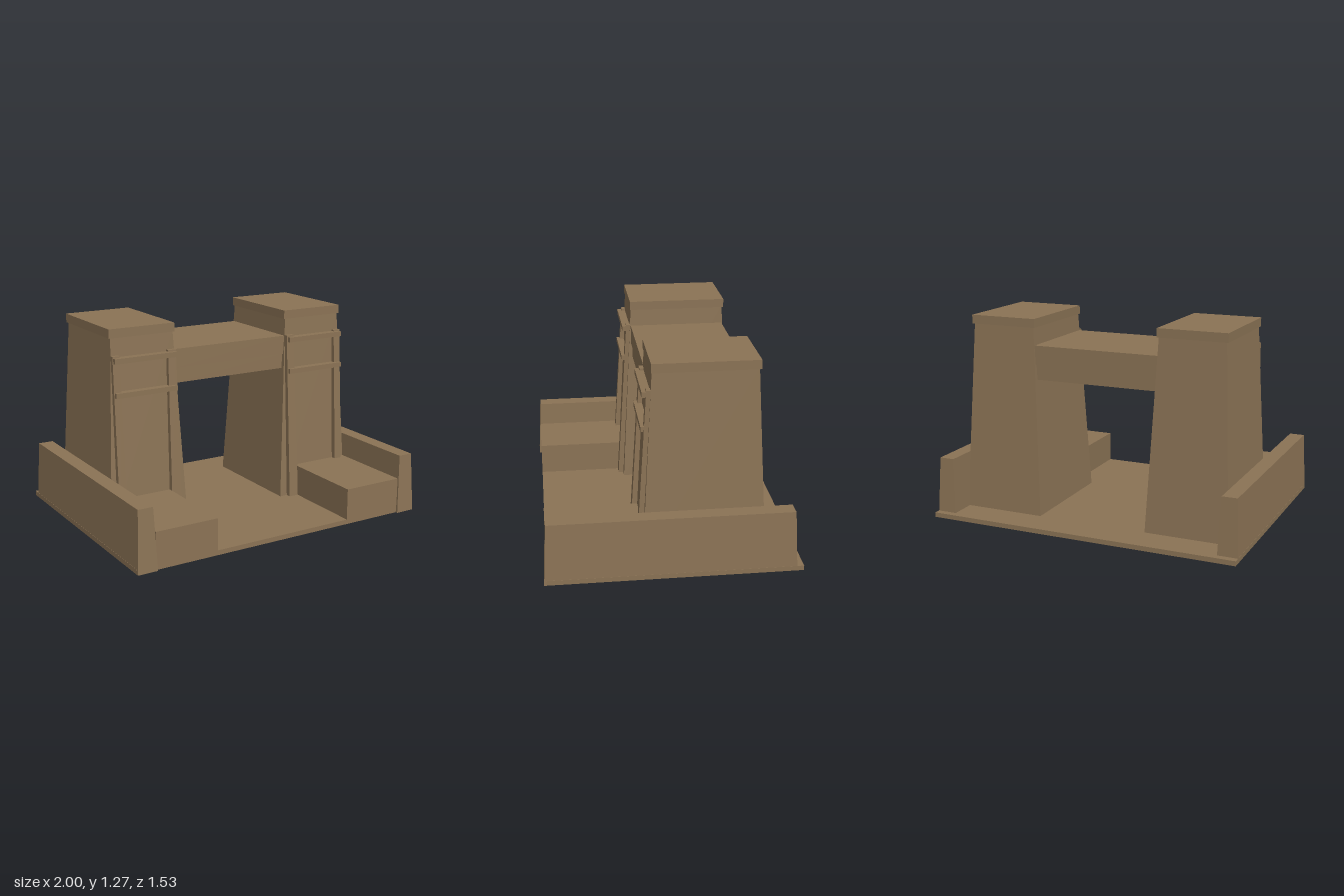
import * as THREE from 'three';

const stone = new THREE.MeshStandardMaterial({ color: 0x8b7355 });
stone.name = 'sandstone';

// Block with separate bottom and top rectangles: [x0, x1, z0, z1] at y0 and y1
function block(name, y0, y1, bottom, top = bottom) {
  const geo = new THREE.BoxGeometry(1, 1, 1).toNonIndexed();
  const p = geo.attributes.position;
  for (let i = 0; i < p.count; i++) {
    const high = p.getY(i) > 0;
    const r = high ? top : bottom;
    p.setXYZ(i, p.getX(i) < 0 ? r[0] : r[1], high ? y1 : y0, p.getZ(i) < 0 ? r[2] : r[3]);
  }
  geo.computeVertexNormals();
  const mesh = new THREE.Mesh(geo, stone);
  mesh.name = name;
  return mesh;
}

// Same block reflected across x = 0
function pair(group, name, y0, y1, bottom, top = bottom) {
  const flip = ([a, b, c, d]) => [-b, -a, c, d];
  group.add(block(name + 'Left', y0, y1, bottom, top));
  group.add(block(name + 'Right', y0, y1, flip(bottom), flip(top)));
}

export function createModel() {
  const gate = new THREE.Group();
  gate.name = 'templeGate';

  // Ground slab and tapered side walls
  gate.add(block('floorSlab', 0, 0.03, [-1, 1, -0.765, 0.75]));
  pair(gate, 'sideWall', 0, 0.38, [0.873, 1, -0.725, 0.765], [0.888, 0.983, -0.705, 0.745]);

  // Low plinths in front of the towers
  pair(gate, 'plinth', 0.01, 0.23, [0.473, 0.876, 0.1, 0.75]);

  // Battered towers with overhanging caps
  pair(gate, 'tower', 0.02, 1.22, [0.355, 0.885, -0.556, 0.184], [0.413, 0.828, -0.49, 0.121]);
  pair(gate, 'towerCap', 1.215, 1.27, [0.403, 0.84, -0.5, 0.126]);

  // Sloping pilasters and cross bars on the tower fronts
  pair(gate, 'innerPilaster', 0.02, 1.11, [0.408, 0.478, 0.14, 0.218], [0.408, 0.462, 0.09, 0.152]);
  pair(gate, 'outerPilaster', 0.02, 1.11, [0.785, 0.838, 0.14, 0.218], [0.785, 0.832, 0.09, 0.152]);
  pair(gate, 'upperBar', 1.068, 1.1, [0.415, 0.828, 0.1, 0.178]);
  pair(gate, 'lowerBar', 0.862, 0.893, [0.415, 0.828, 0.1, 0.186]);

  // Lintel bridging the towers, upper course slightly proud
  gate.add(block('lintelLower', 0.89, 0.987, [-0.415, 0.415, -0.48, 0.112]));
  gate.add(block('lintelUpper', 0.985, 1.105, [-0.425, 0.425, -0.49, 0.122]));

  return gate;
}
